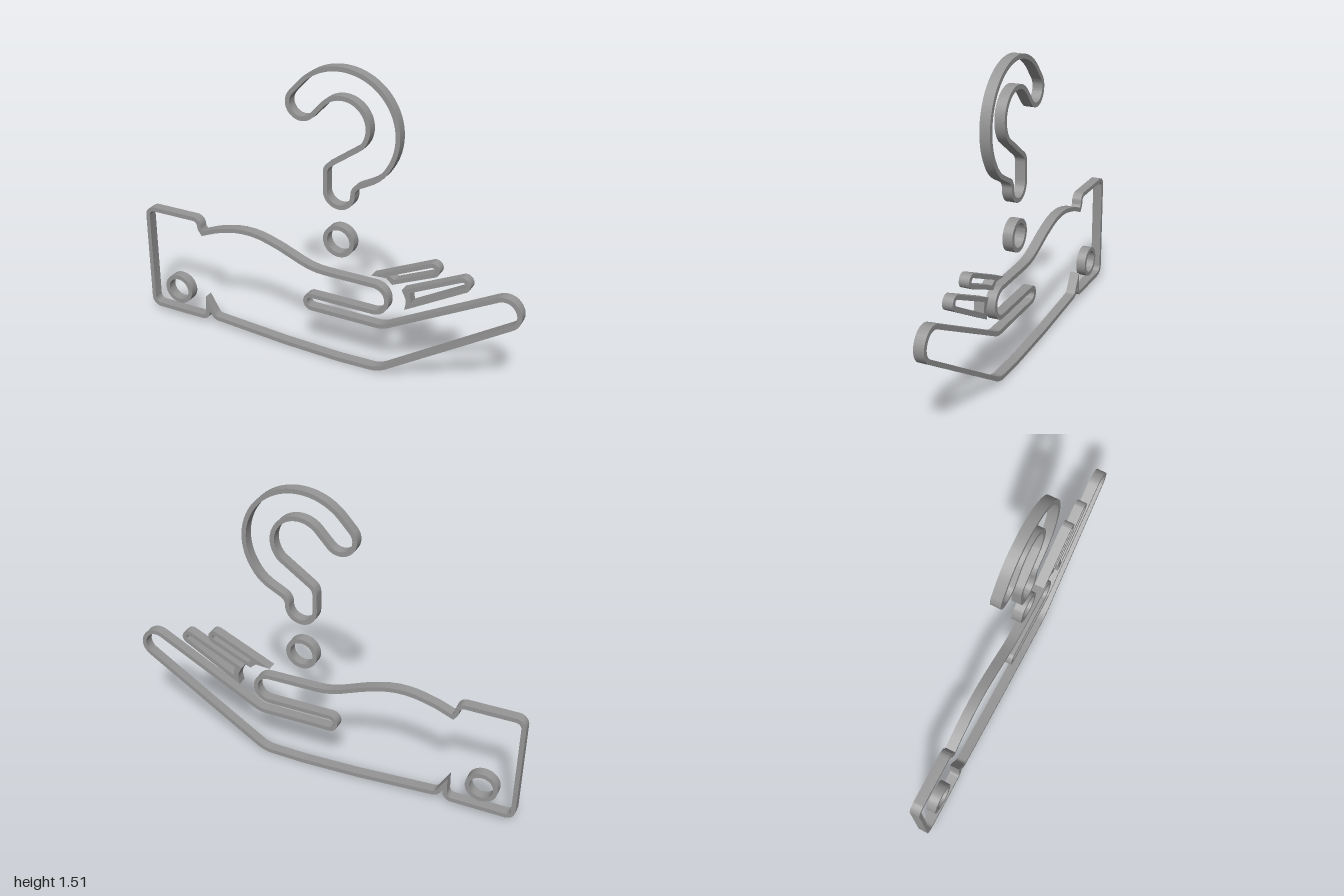
import * as THREE from 'three';
import { toCreasedNormals } from 'three/addons/utils/BufferGeometryUtils.js';

const DEPTH = 0.05, HALF = 0.011; // band depth and half its width
const V = (x, y) => new THREE.Vector2(x, y);
const material = new THREE.MeshStandardMaterial({ color: 0x969696 });

// Points along a circular arc, angles in degrees
function arc(cx, cy, r, from, to, n = 24) {
  return Array.from({ length: n + 1 }, (_, i) => {
    const a = THREE.MathUtils.degToRad(from + (to - from) * i / n);
    return [cx + r * Math.cos(a), cy + r * Math.sin(a)];
  });
}

// Closed counter-clockwise polygon from [x, y, cornerRadius] entries
function rounded(corners) {
  const out = [], count = corners.length;
  const add = p => {
    if (!out.length || out[out.length - 1].distanceTo(p) > 1e-3) out.push(p);
  };
  corners.forEach(([x, y, r = 0], i) => {
    const p = V(x, y);
    if (!r) return add(p);
    const a = corners[(i + count - 1) % count], b = corners[(i + 1) % count];
    const u = V(a[0], a[1]).sub(p).normalize(), v = V(b[0], b[1]).sub(p).normalize();
    const half = Math.acos(THREE.MathUtils.clamp(u.dot(v), -1, 1)) / 2;
    const c = u.clone().add(v).normalize().multiplyScalar(r / Math.sin(half)).add(p);
    const t = r / Math.tan(half);
    const s = u.multiplyScalar(t).add(p).sub(c), e = v.multiplyScalar(t).add(p).sub(c);
    const sweep = Math.atan2(s.cross(e), s.dot(e));
    const n = Math.max(3, Math.ceil(Math.abs(sweep) / 0.14));
    for (let k = 0; k <= n; k++) add(s.clone().rotateAround(V(0, 0), sweep * k / n).add(c));
  });
  if (out[0].distanceTo(out[out.length - 1]) < 1e-3) out.pop();
  return THREE.ShapeUtils.isClockWise(out) ? out.reverse() : out;
}

// Mitred parallel of a closed polygon, inward for positive d
function offset(points, d) {
  const n = points.length;
  return points.map((p, i) => {
    const d1 = p.clone().sub(points[(i + n - 1) % n]).normalize();
    const d2 = points[(i + 1) % n].clone().sub(p).normalize();
    const m = V(-d1.y - d2.y, d1.x + d2.x).multiplyScalar(d / (1 + d1.dot(d2)));
    return m.add(p);
  });
}

// Extruded band between two closed loops, the hole wound the other way
function band(name, outer, inner) {
  const shape = new THREE.Shape(outer);
  shape.holes.push(new THREE.Path(inner.reverse()));
  const geo = new THREE.ExtrudeGeometry(shape, { depth: DEPTH, bevelEnabled: false });
  geo.translate(0, 0, -DEPTH / 2);
  const mesh = new THREE.Mesh(toCreasedNormals(geo, 0.5), material);
  mesh.name = name;
  return mesh;
}

// Band of even width along a closed centre line
function outline(name, corners) {
  const line = rounded(corners);
  return band(name, offset(line, -HALF), offset(line, HALF));
}

export function createModel() {
  const group = new THREE.Group();
  group.name = 'handHoldingQuestionMark';

  // Sleeve cuff, wrist, thumb, palm and long finger in one closed outline
  group.add(outline('handAndCuff', [
    [-0.988, 0.594, 0.04], [-0.682, 0.594, 0.035], [-0.676, 0.545, 0.02], [-0.66, 0.523],
    [-0.58, 0.556, 0.3], [-0.4, 0.604, 0.4], [-0.22, 0.547, 0.6], [-0.04, 0.474, 0.35],
    [0.352, 0.472, 0.07], [0.352, 0.33, 0.07],
    [-0.077, 0.33, 0.034], [-0.077, 0.26, 0.034],
    [0.332, 0.26, 0.12],
    [0.942, 0.588, 0.069], [1.012, 0.468, 0.069],
    [0.315, 0.015, 0.15], [0.1, 0.01, 1], [-0.2, 0.02, 1], [-0.608, 0.048, 0.04],
    [-0.65, 0.12], [-0.652, 0.036, 0.035], [-0.988, 0.036, 0.04],
  ]));

  // Two fingers behind, each with a pointed base
  group.add(band('upperFinger',
    rounded([[0.272, 0.525], [0.589, 0.672, 0.034], [0.618, 0.609, 0.034],
      [0.379, 0.503], [0.347, 0.53]]),
    rounded([[0.363, 0.545], [0.578, 0.644, 0.013], [0.589, 0.619, 0.013], [0.39, 0.53]])));
  group.add(band('middleFinger',
    rounded([[0.427, 0.487], [0.735, 0.635, 0.034], [0.766, 0.573, 0.034],
      [0.443, 0.386], [0.452, 0.438, 0.06]]),
    rounded([[0.467, 0.482], [0.725, 0.607, 0.013], [0.737, 0.583, 0.013], [0.475, 0.431]])));

  // Question mark hook: stem end, outer arc, rounded tip, inner arc
  group.add(outline('questionHook', [
    ...arc(0.1, 0.906, 0.07, 180, 360),
    [0.17, 0.943, 0.05],
    [0.31, 1.017, 0.2],
    ...arc(0.107, 1.218, 0.276, -30, 138, 48),
    ...arc(-0.092, 1.305, 0.07, 138, 320),
    ...arc(0.112, 1.235, 0.128, 140, -45, 32),
    [0.03, 1.023, 0.05],
  ]));

  // Rings: dot of the question mark and cuff button
  for (const [name, x, y] of [['questionDot', 0.1, 0.66], ['cuffButton', -0.825, 0.161]]) {
    group.add(outline(name, arc(x, y, 0.069, 0, 360, 48)));
  }
  return group;
}
